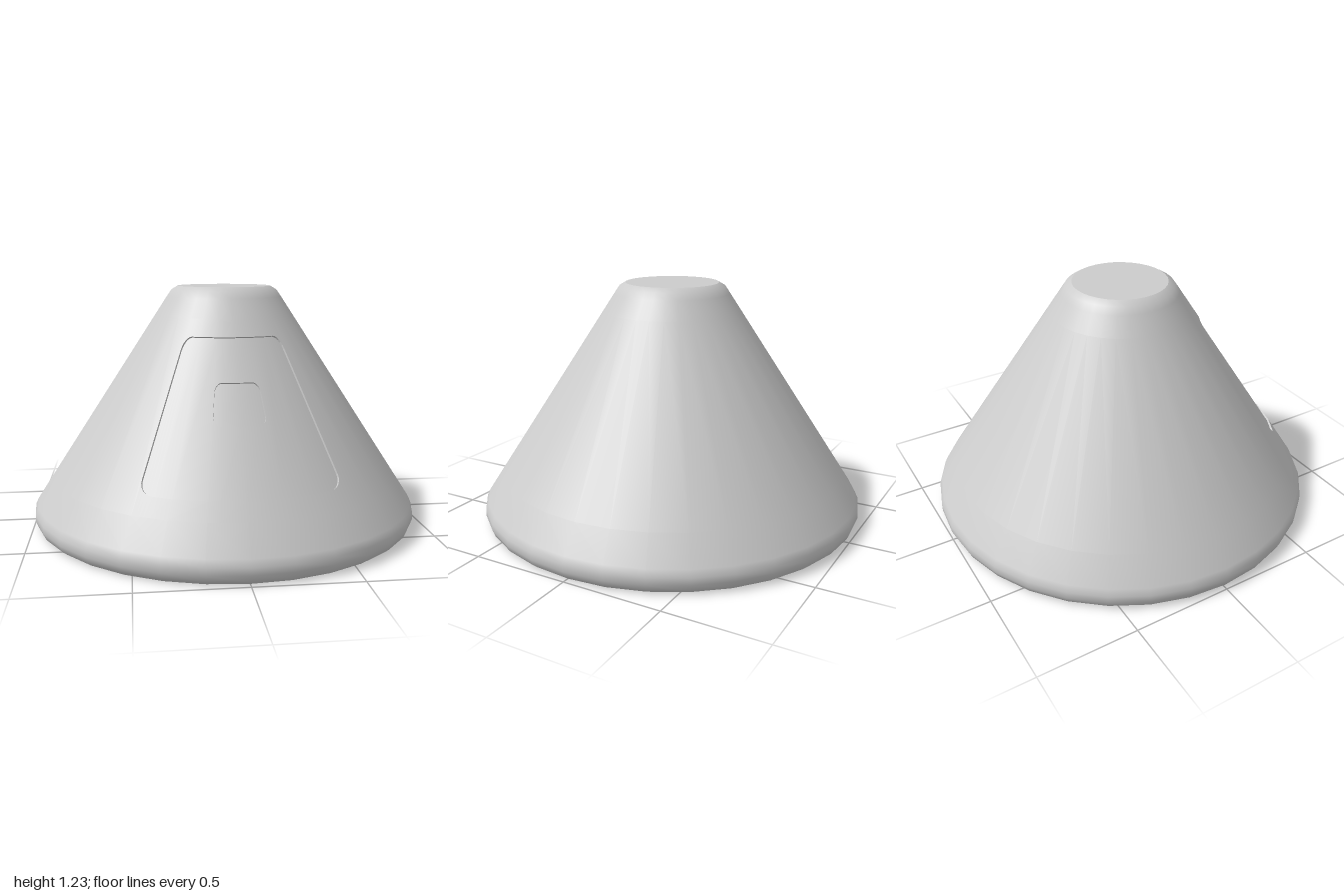
import * as THREE from 'three';

const SIDES = 32;
const STEP = (2 * Math.PI) / SIDES;
const SLOPE = 0.654;
const Y_LOW = 0.25, Y_HIGH = 1.08; // band of the cone that holds the panel
const DEPTH = 0.01;

const coneRadius = (y) => 0.99 - SLOPE * (y - 0.11);

// Point on the 32-sided cone, sunk by depth along the surface normal
function conePoint(angle, y, depth) {
  const len = Math.hypot(1, SLOPE);
  const local = angle - Math.floor(angle / STEP + 1e-6) * STEP - STEP / 2;
  const r = ((coneRadius(y) - depth / len) * Math.cos(STEP / 2)) / Math.cos(local);
  return new THREE.Vector3(r * Math.sin(angle), y - (depth * SLOPE) / len, r * Math.cos(angle));
}

// Rounded rectangle in angle and height, given as a lower and an upper edge
function roundedPatch(half, y0, y1, cornerAngle, cornerHeight) {
  const inset = (a) => {
    const e = THREE.MathUtils.clamp((Math.abs(a) - half + cornerAngle) / cornerAngle, 0, 1);
    return cornerHeight * (1 - Math.sqrt(1 - e * e));
  };
  return { half, cornerAngle, lo: (a) => y0 + inset(a), hi: (a) => y1 - inset(a) };
}

const outer = roundedPatch(3 * STEP, 0.33, 0.997, 0.09, 0.06);
const inner = roundedPatch(STEP, 0.62, 0.803, 0.06, 0.04);

// Column angles: facet lines plus samples around the rounded corners
function makeColumns() {
  const list = [];
  for (let i = -3; i <= 3; i++) list.push(i * STEP);
  for (const p of [outer, inner]) {
    for (let k = 0; k < 6; k++) {
      const a = p.half - p.cornerAngle * (1 - Math.sin((k * Math.PI) / 12));
      list.push(a, -a);
    }
  }
  list.sort((a, b) => a - b);
  return list.filter((a, i) => i === 0 || a - list[i - 1] > 1e-5);
}
const columns = makeColumns();

function surface() {
  const pos = [], nor = [];
  const quad = (corners, angles) => {
    const flat = new THREE.Vector3()
      .subVectors(corners[2], corners[0])
      .cross(new THREE.Vector3().subVectors(corners[3], corners[1]))
      .normalize();
    for (const i of [0, 1, 2, 0, 2, 3]) {
      pos.push(...corners[i].toArray());
      const n = angles
        ? new THREE.Vector3(Math.sin(angles[i]), SLOPE, Math.cos(angles[i])).normalize()
        : flat;
      nor.push(...n.toArray());
    }
  };
  return {
    quad,
    // Strip between two edge curves, over the columns accepted by keep
    strip(f0, d0, f1, d1, keep = () => true) {
      for (let i = 0; i + 1 < columns.length; i++) {
        const a = columns[i], b = columns[i + 1];
        if (!keep((a + b) / 2)) continue;
        quad(
          [conePoint(a, f0(a), d0), conePoint(b, f0(b), d0), conePoint(b, f1(b), d1), conePoint(a, f1(a), d1)],
          d0 === d1 ? [a, b, b, a] : null
        );
      }
    },
    build() {
      const g = new THREE.BufferGeometry();
      g.setAttribute('position', new THREE.Float32BufferAttribute(pos, 3));
      g.setAttribute('normal', new THREE.Float32BufferAttribute(nor, 3));
      return g;
    },
  };
}

// Walls stepping down from depth d0 to d1 around a patch
function stepWalls(p, d0, d1) {
  const s = surface();
  const inside = (a) => Math.abs(a) < p.half;
  s.strip(p.hi, d1, p.hi, d0, inside);
  s.strip(p.lo, d0, p.lo, d1, inside);
  for (const side of [-1, 1]) {
    const a = side * p.half;
    const [l, r] = side < 0 ? [d0, d1] : [d1, d0];
    s.quad([conePoint(a, p.lo(a), l), conePoint(a, p.lo(a), r), conePoint(a, p.hi(a), r), conePoint(a, p.hi(a), l)]);
  }
  return s.build();
}

export function createModel() {
  const group = new THREE.Group();
  const material = new THREE.MeshStandardMaterial({ color: 0xcccccc });
  const add = (name, geometry) => {
    const mesh = new THREE.Mesh(geometry, material);
    mesh.name = name;
    group.add(mesh);
    return mesh;
  };
  const lathe = (points, start = 0, sides = SIDES) =>
    new THREE.LatheGeometry(points.map(([r, y]) => new THREE.Vector2(r, y)), sides, start, sides * STEP);

  // Cone body: rounded foot, wall open at the front panel, rounded top edge
  const low = [coneRadius(Y_LOW), Y_LOW], high = [coneRadius(Y_HIGH), Y_HIGH];
  add('foot', lathe([[0.965, 0], [0.987, 0.018], [1, 0.05], [1, 0.085], [0.985, 0.118], low]));
  add('coneWall', lathe([low, high], 3 * STEP, SIDES - 6));
  add('topEdge', lathe([high, [0.296, 1.171], [0.273, 1.205], [0.24, 1.225]]));

  // Flat ends, turned so their corners meet the cone
  const top = add('topCap', new THREE.CircleGeometry(0.24, SIDES));
  top.rotation.x = -Math.PI / 2;
  top.position.y = 1.225;
  add('baseCap', new THREE.CircleGeometry(0.965, SIDES)).rotation.x = Math.PI / 2;

  // Cone surface above and below the panel
  const surround = surface();
  surround.strip(() => Y_LOW, 0, outer.lo, 0);
  surround.strip(outer.hi, 0, () => Y_HIGH, 0);
  add('panelSurround', surround.build());

  // Recessed panel with a smaller, deeper recess in it
  const isInner = (a) => Math.abs(a) < inner.half;
  const panel = surface();
  panel.strip(outer.lo, DEPTH, outer.hi, DEPTH, (a) => !isInner(a));
  panel.strip(outer.lo, DEPTH, inner.lo, DEPTH, isInner);
  panel.strip(inner.hi, DEPTH, outer.hi, DEPTH, isInner);
  add('panel', panel.build());
  add('panelRim', stepWalls(outer, 0, DEPTH));

  const recess = surface();
  recess.strip(inner.lo, 2 * DEPTH, inner.hi, 2 * DEPTH, isInner);
  add('innerRecess', recess.build());
  add('innerRecessRim', stepWalls(inner, DEPTH, 2 * DEPTH));

  return group;
}
